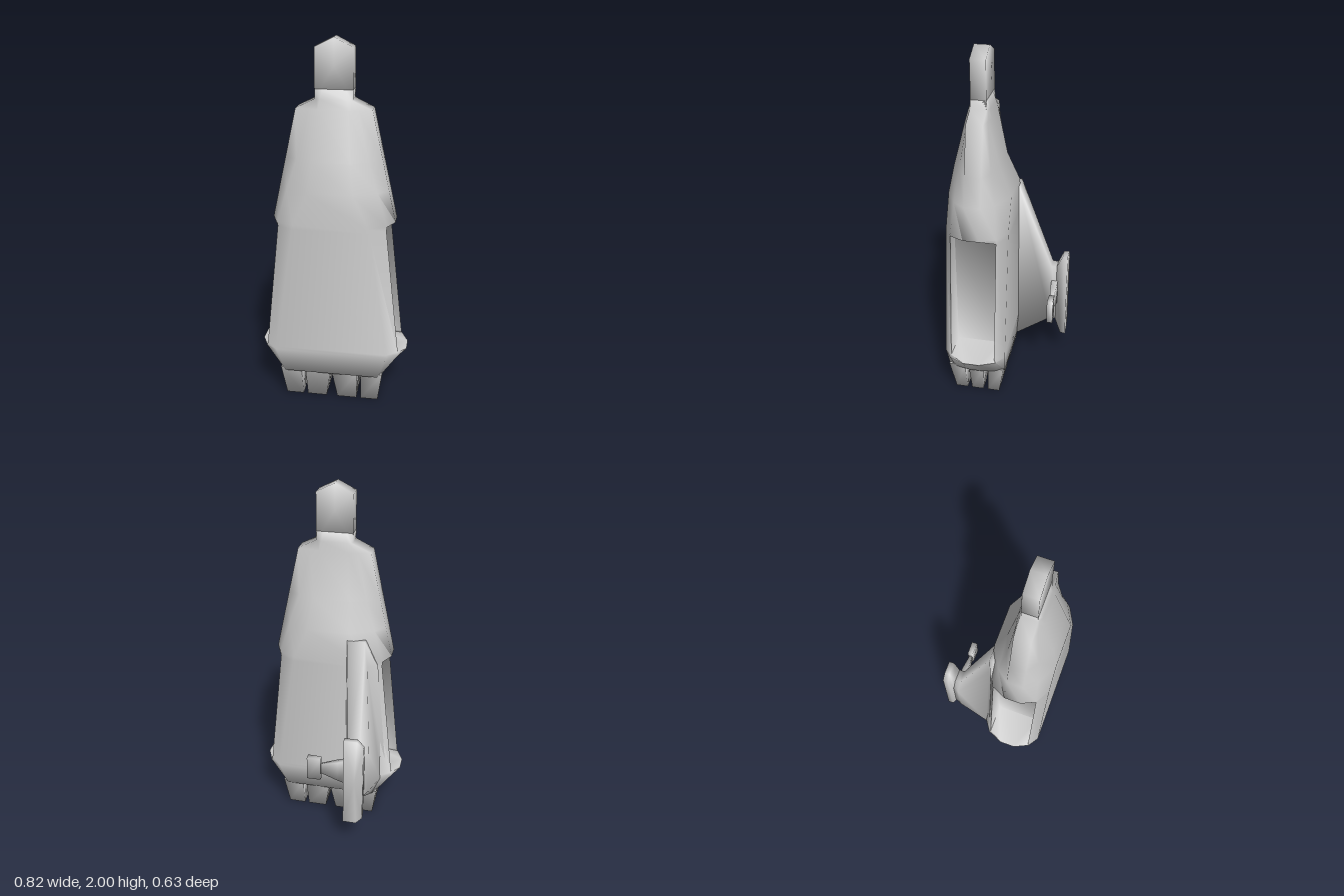
import * as THREE from 'three';
import { toCreasedNormals } from 'three/addons/utils/BufferGeometryUtils.js';

const material = new THREE.MeshStandardMaterial({ color: 0xcccccc });

// Skin a list of closed rings (arrays of [x, y, z]), cap both ends and shade softly.
function loft(rings) {
  const n = rings[0].length;
  const points = rings.flat();
  const index = [];
  for (let r = 0; r < rings.length - 1; r++) {
    for (let i = 0; i < n; i++) {
      const j = (i + 1) % n;
      const a = r * n + i, b = r * n + j, c = a + n, d = b + n;
      index.push(a, b, d, a, d, c);
    }
  }
  for (const r of [0, rings.length - 1]) {
    const centre = [0, 1, 2].map(k => rings[r].reduce((s, p) => s + p[k], 0) / n);
    const m = points.push(centre) - 1;
    for (let i = 0; i < n; i++) {
      const a = r * n + i, b = r * n + (i + 1) % n;
      if (r === 0) index.push(m, b, a); else index.push(m, a, b);
    }
  }
  // Turn the faces outward whichever way the rings run
  let volume = 0;
  const v = points.map(p => new THREE.Vector3(...p));
  for (let i = 0; i < index.length; i += 3) {
    volume += v[index[i]].dot(v[index[i + 1]].clone().cross(v[index[i + 2]]));
  }
  if (volume < 0) index.reverse();
  const geometry = new THREE.BufferGeometry().setFromPoints(v);
  geometry.setIndex(index);
  return toCreasedNormals(geometry, 1.65);
}

export function createModel() {
  const model = new THREE.Group();
  const add = (name, geometry, parent = model) => {
    const mesh = new THREE.Mesh(geometry, material);
    mesh.name = name;
    parent.add(mesh);
    return mesh;
  };

  // Hull: twelve-sided rings; the side bays are cut where the side points move inward.
  // y, half widths (flat, shoulder, side), z (back, back shoulder, side x2, front shoulder, front)
  const hullRings = [
    [0.165, 0.26, 0.28, 0.30, -0.02, 0.02, 0.10, 0.19, 0.27, 0.31],
    [0.295, 0.31, 0.37, 0.41, -0.03, 0.01, 0.10, 0.19, 0.275, 0.315],
    [0.312, 0.308, 0.367, 0.2, -0.03, 0.02, 0.02, 0.268, 0.268, 0.315],
    [1.02, 0.205, 0.29, 0.2, -0.03, 0.02, 0.02, 0.268, 0.268, 0.315],
    [1.045, 0.2, 0.292, 0.33, -0.03, 0.02, 0.10, 0.19, 0.268, 0.315],
    [1.22, 0.12, 0.24, 0.292, -0.03, 0.035, 0.10, 0.19, 0.255, 0.315],
    [1.38, 0.10, 0.19, 0.257, 0.035, 0.065, 0.10, 0.19, 0.235, 0.283],
    [1.64, 0.08, 0.13, 0.20, 0.08, 0.09, 0.10, 0.19, 0.20, 0.217],
    [1.69, 0.07, 0.09, 0.10, 0.09, 0.097, 0.103, 0.187, 0.193, 0.203],
    [1.74, 0.06, 0.10, 0.10, 0.103, 0.103, 0.104, 0.186, 0.187, 0.187],
  ].map(([y, a, b, c, ...z]) => {
    const half = [a, b, c, c, b, a].map((x, i) => [x, y, z[i]]);
    return [...half, ...half.map(([x, yy, zz]) => [-x, yy, zz]).reverse()];
  });
  add('hull', loft(hullRings));

  // Nose: upright plate with a shallow point
  add('nose', loft([0.103, 0.187].map(z => [
    [-0.1, 1.69, z], [0.1, 1.69, z], [0.1, 1.95, z], [0, 2, z], [-0.1, 1.95, z],
  ])));

  // Engine nozzles: four columns by three rows of tapered blocks, leaning inward
  const nozzles = new THREE.Group();
  nozzles.name = 'engineNozzles';
  model.add(nozzles);
  const blockRing = (y, x0, x1, z, d) => [[x0, y, z - d], [x1, y, z - d], [x1, y, z + d], [x0, y, z + d]];
  for (const side of [-1, 1]) {
    // x range at the top and at the bottom
    for (const [t0, t1, b0, b1] of [[0.003, 0.146, 0.031, 0.139], [0.168, 0.286, 0.164, 0.26]]) {
      for (const row of [-1, 0, 1]) {
        add('nozzle', loft([
          blockRing(0.18, side * t0, side * t1, 0.145 + row * 0.115, 0.046),
          blockRing(0, side * b0, side * b1, 0.145 + row * 0.095, 0.034),
        ]), nozzles);
      }
    }
  }

  // Rear pylon: flat on its inner face, its outer face running on from the bay's rear edge
  // z, inner x, outer x (top, upper, lower, bottom), y (top, upper, lower, bottom)
  const pylonRing = ([z, x, xa, xb, xc, xd, ya, yb, yc, yd]) => [
    [x, ya, z], [x, yd, z], [xd, yd, z], [xc, yc, z], [xb, yb, z], [xa, ya, z],
  ];
  add('rearPylon', loft([
    [0.0, -0.10, -0.20, -0.27, -0.34, -0.26, 1.18, 1.03, 0.295, 0.175],
    [-0.03, -0.10, -0.20, -0.215, -0.31, -0.26, 1.18, 1.03, 0.295, 0.175],
    [-0.22, -0.15, -0.22, -0.27, -0.27, -0.22, 0.645, 0.59, 0.33, 0.275],
    [-0.258, -0.152, -0.22, -0.252, -0.252, -0.22, 0.643, 0.59, 0.33, 0.27],
  ].map(pylonRing)));
  add('rearPlate', loft([
    [-0.25, -0.152, -0.22, -0.252, -0.252, -0.22, 0.64, 0.59, 0.33, 0.27],
    [-0.285, -0.145, -0.22, -0.255, -0.255, -0.22, 0.72, 0.68, 0.21, 0.175],
    [-0.315, -0.145, -0.22, -0.255, -0.255, -0.22, 0.72, 0.68, 0.21, 0.17],
  ].map(pylonRing)));

  // Side arm with a pod: thins out toward the tip
  const armRing = ([x, h, d, z]) => [[1, 1], [1, -1], [-1, -1], [-1, 1]]
    .map(([sy, sz]) => [x, 0.47 + sy * h, z + sz * d]);
  add('sideArm', loft([
    [-0.20, 0.09, 0.02, -0.241], [-0.10, 0.06, 0.018, -0.241], [0.01, 0.025, 0.007, -0.244],
  ].map(armRing)));
  add('armPod', loft([
    [-0.003, 0.07, 0.015, -0.246], [0.075, 0.07, 0.017, -0.246],
  ].map(armRing)));

  return model;
}
